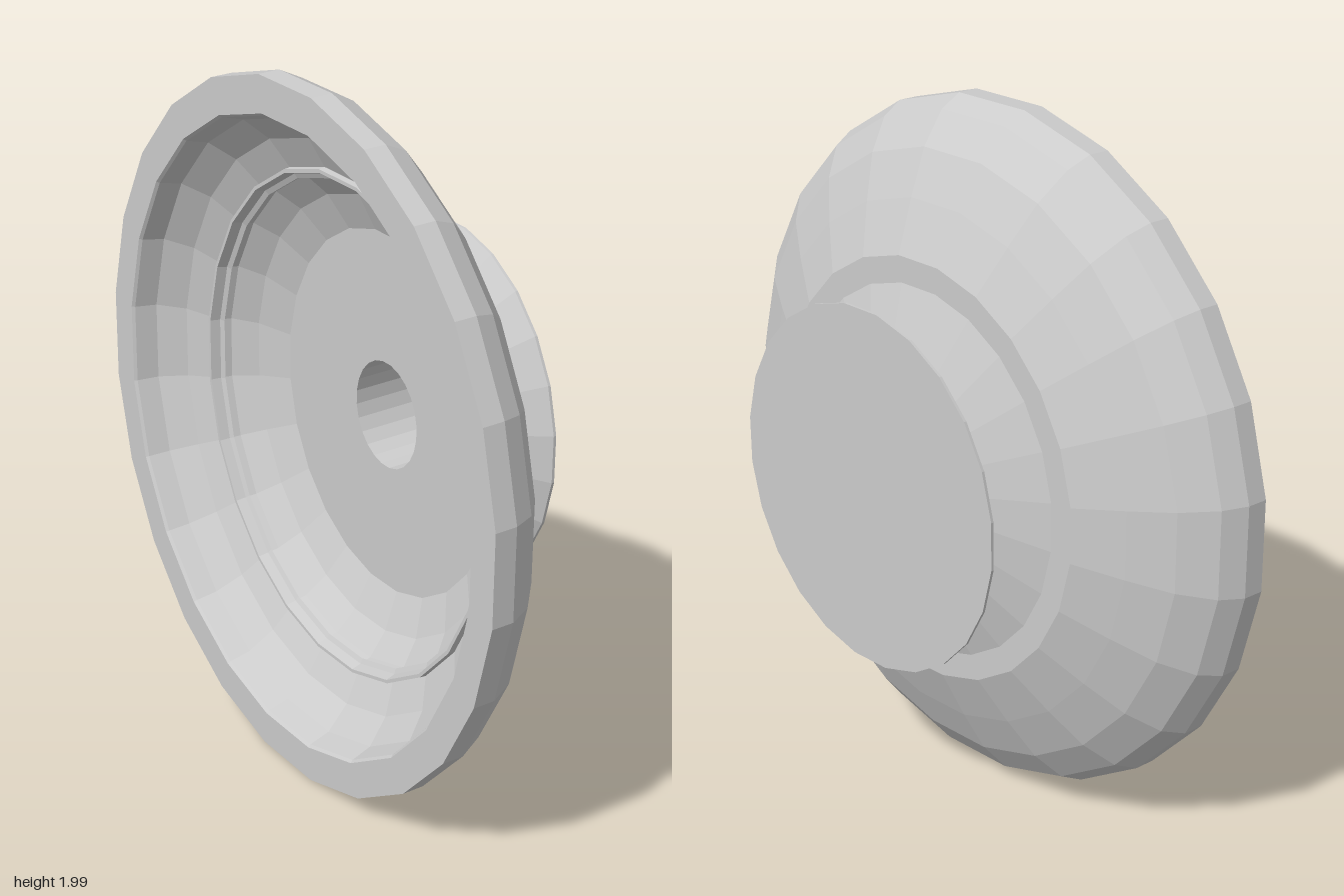
import * as THREE from 'three';

const SIDES = 24;
const START = THREE.MathUtils.degToRad(6.3);

// Slight oval, lean and drift of the axis shared by every part
const skew = new THREE.Matrix4().set(
  0.92, 0, -0.055, 0.014,
  0, 1, -0.04, 1.01,
  0.012, 0.002, 1, 0,
  0, 0, 0, 1
);

// Turned part: profile of [radius, z] running back to front on the outside
function turned(name, profile) {
  const points = profile.map(([r, z]) => new THREE.Vector2(r, z));
  const geometry = new THREE.LatheGeometry(points, SIDES, START);
  geometry.rotateX(Math.PI / 2).applyMatrix4(skew);
  geometry.computeVertexNormals();
  const material = new THREE.MeshStandardMaterial({
    color: 0xcccccc, flatShading: true, side: THREE.DoubleSide,
  });
  const mesh = new THREE.Mesh(geometry, material);
  mesh.name = name;
  return mesh;
}

export function createModel() {
  const group = new THREE.Group();
  group.name = 'dish';

  // Rounded outer shell, flat rim and inner bowl wall
  group.add(turned('bowl', [
    [0.53, -0.065], [0.61, -0.065], [0.755, -0.003], [0.88, 0.058],
    [0.968, 0.13], [1.002, 0.196], [1.002, 0.258],
    [0.9, 0.258], [0.893, 0.25], [0.875, 0.19], [0.81, 0.125], [0.69, 0.065],
  ]));

  // Inner cup with a raised lip and a flat floor around the central hole
  group.add(turned('innerCup', [
    [0.725, 0.07], [0.722, 0.1], [0.712, 0.1], [0.695, 0.04],
    [0.63, -0.015], [0.525, -0.06], [0.155, -0.06],
  ]));

  // Blind hole in the middle of the floor
  group.add(turned('centreHole', [
    [0.155, -0.06], [0.155, -0.255], [0, -0.255],
  ]));

  // Waisted foot flaring out to the flat back plate
  group.add(turned('foot', [
    [0, -0.262], [0.522, -0.262], [0.522, -0.254],
    [0.35, -0.128], [0.535, -0.065],
  ]));

  return group;
}
